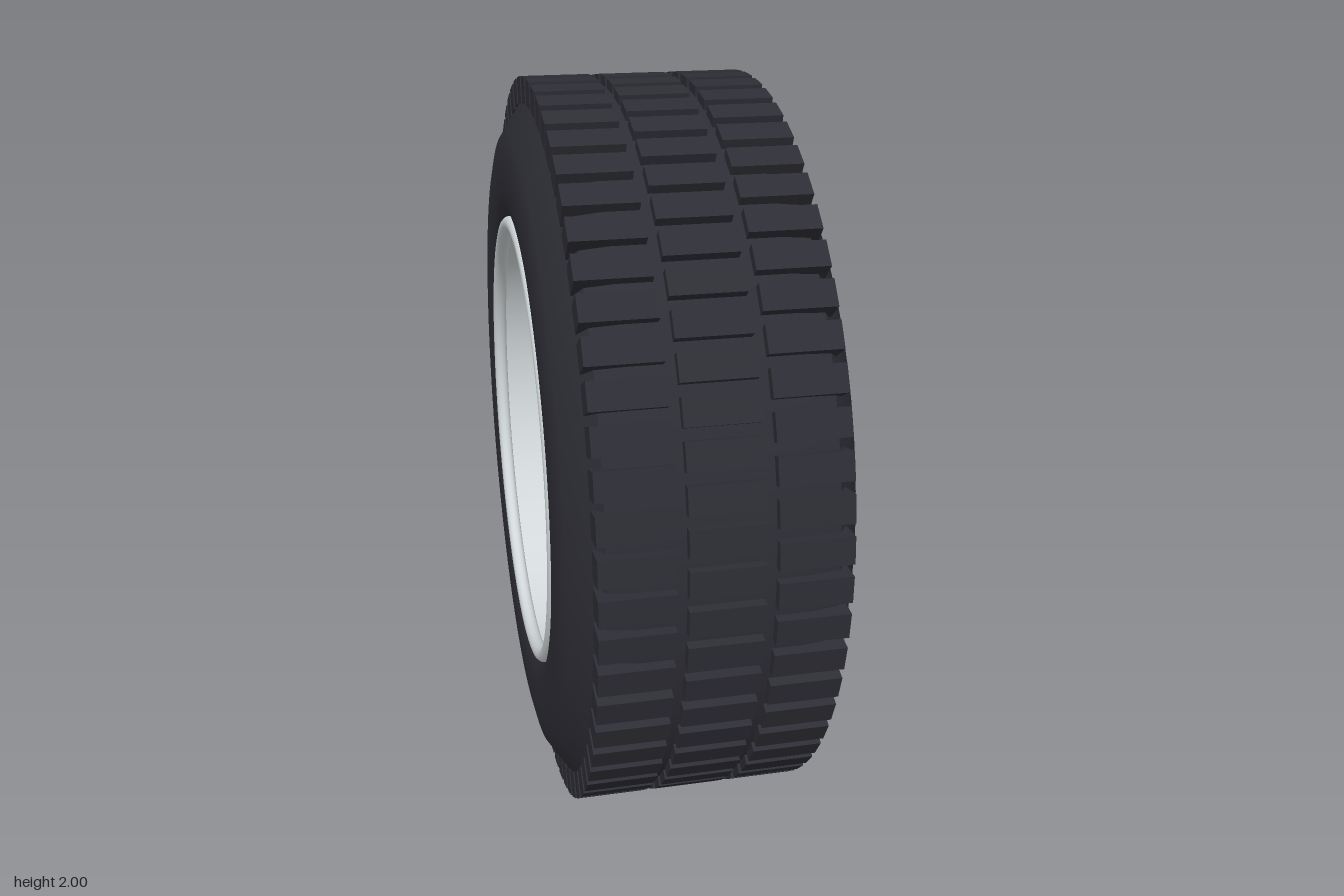
import * as THREE from 'three';
import { mergeGeometries, toCreasedNormals } from 'three/addons/utils/BufferGeometryUtils.js';

const mat = (name, color) => {
  const m = new THREE.MeshStandardMaterial({ color });
  m.name = name;
  return m;
};

// Surface turned about the x axis; points are [radius, x], running back to front on outer faces
function turned(points, segments = 64, crease = 0.7) {
  const g = new THREE.LatheGeometry(points.map(([r, x]) => new THREE.Vector2(r, x)), segments);
  g.rotateZ(-Math.PI / 2);
  return toCreasedNormals(g, crease);
}

// Copies of a geometry spaced evenly around the x axis
function around(geometry, count, phase = 0) {
  const copies = [];
  for (let i = 0; i < count; i++) {
    copies.push(geometry.clone().rotateX(phase + (i / count) * Math.PI * 2));
  }
  return mergeGeometries(copies);
}

// Tapered spoke pointing up; each section is [radius, front x, back x, z low, z high]
function spokeGeometry() {
  const sections = [
    [0.12, 0.195, 0.09, -0.065, 0.058],
    [0.29, 0.18, 0.08, -0.058, 0.06],
    [0.45, 0.145, 0.06, -0.026, 0.064],
    [0.61, 0.11, 0.04, 0.0, 0.066],
  ];
  const g = new THREE.BoxGeometry(1, 3, 1, 1, 3, 1);
  const p = g.attributes.position;
  for (let i = 0; i < p.count; i++) {
    const [r, front, back, low, high] = sections[Math.round(p.getY(i) + 1.5)];
    p.setXYZ(i, p.getX(i) > 0 ? front : back, r, p.getZ(i) > 0 ? high : low);
  }
  const flat = g.toNonIndexed();
  flat.computeVertexNormals();
  return flat;
}

export function createModel() {
  const rubber = mat('tyre rubber', 0x2d2d35);
  const silver = mat('rim silver', 0xd2d8da);
  const grey = mat('spoke grey', 0x6e767a);
  const steel = mat('disc steel', 0x99a1a5);
  const red = mat('caliper red', 0xb0292b);
  const black = mat('hole black', 0x1b1d20);

  const model = new THREE.Group();
  model.name = 'wheel';
  const wheel = new THREE.Group();
  wheel.name = 'wheelAssembly';
  wheel.position.y = 1;
  model.add(wheel);
  const add = (name, geometry, material) => {
    const mesh = new THREE.Mesh(geometry, material);
    mesh.name = name;
    wheel.add(mesh);
    return mesh;
  };

  // Tyre carcass: mirrored half profile
  const half = [[0.615, 0.33], [0.65, 0.352], [0.69, 0.358], [0.75, 0.36], [0.8, 0.356],
    [0.85, 0.345], [0.93, 0.292], [0.965, 0.27], [0.975, 0.2]];
  const carcass = [...half.map(([r, x]) => [r, -x]), ...[...half].reverse()];
  add('tyreCarcass', turned(carcass, 128), rubber);

  // Three staggered rows of tread blocks
  const rows = [['treadRight', -0.206, 0.18, 0], ['treadMiddle', 0, 0.18, 0.5], ['treadLeft', 0.204, 0.176, 0]];
  const pitch = (Math.PI * 2) / 64;
  for (const [name, x, width, shift] of rows) {
    const block = new THREE.BoxGeometry(width, 0.069, 0.068);
    block.translate(x, 0.965, 0);
    add(name, around(block, 64, shift * pitch), rubber);
  }

  // Rim barrel, open at both ends, with a rounded lip on each side
  add('rimBarrel', turned([
    [0.622, -0.33], [0.622, 0.33], [0.612, 0.33], [0.612, -0.33], [0.622, -0.33],
  ], 96), silver);
  for (const side of [-1, 1]) {
    const lip = new THREE.TorusGeometry(0.61, 0.02, 12, 96);
    lip.rotateY(Math.PI / 2).translate(side * 0.337, 0, 0);
    add(side > 0 ? 'leftRimLip' : 'rightRimLip', lip, silver);
  }

  // Spokes and hub
  add('spokes', around(spokeGeometry(), 8), grey);
  add('hub', turned([
    [0, 0.09], [0.185, 0.09], [0.195, 0.1], [0.195, 0.195], [0.185, 0.207], [0, 0.207],
  ], 48, 0.5), grey);
  add('hubCap', turned([
    [0, 0.2], [0.092, 0.2], [0.092, 0.24], [0.082, 0.252], [0, 0.255],
  ], 40, 0.6), silver);

  // Lug nuts with dark collars
  const collar = new THREE.CylinderGeometry(0.04, 0.04, 0.02, 24);
  collar.rotateZ(-Math.PI / 2).translate(0.206, 0.13, 0);
  add('lugCollars', around(collar, 5), black);
  const nut = turned([
    [0, 0.2], [0.026, 0.2], [0.026, 0.25], [0.022, 0.262], [0.012, 0.27], [0, 0.272],
  ], 20, 0.8);
  nut.translate(0, 0.13, 0);
  add('lugNuts', around(nut, 5), silver);

  // Brake disc with a hat that is hollow at the back
  add('brakeDisc', turned([
    [0, 0.08], [0.1, 0.08], [0.14, 0.07], [0.165, 0.045], [0.18, 0.015], [0.21, 0.0],
    [0.42, 0.0], [0.46, 0.015], [0.46, 0.04], [0.45, 0.05], [0.23, 0.055], [0.2, 0.07], [0.19, 0.1], [0, 0.1],
  ], 72), steel);

  // Drilled holes in two alternating rings, shown on both faces
  const holeRings = [[0.335, 0.5], [0.375, 0]];
  const holes = [];
  for (const [radius, shift] of holeRings) {
    const hole = new THREE.CylinderGeometry(0.013, 0.013, 0.004, 12);
    hole.rotateZ(Math.PI / 2);
    for (const x of [0.0535, -0.001]) {
      holes.push(around(hole.clone().translate(x, radius, 0), 14, (shift * Math.PI * 2) / 14));
    }
  }
  add('discHoles', mergeGeometries(holes), black);

  // Brake caliper straddling the disc edge
  const outline = [[0.29, 0.43], [0.475, 0.365], [0.375, 0.065], [0.215, 0.12]];
  const shape = new THREE.Shape(outline.map(([u, v]) => new THREE.Vector2(u, v)));
  const caliper = new THREE.ExtrudeGeometry(shape, { depth: 0.13, bevelEnabled: false });
  caliper.rotateY(Math.PI / 2).translate(-0.04, 0, 0);
  add('brakeCaliper', caliper, red);

  return model;
}
